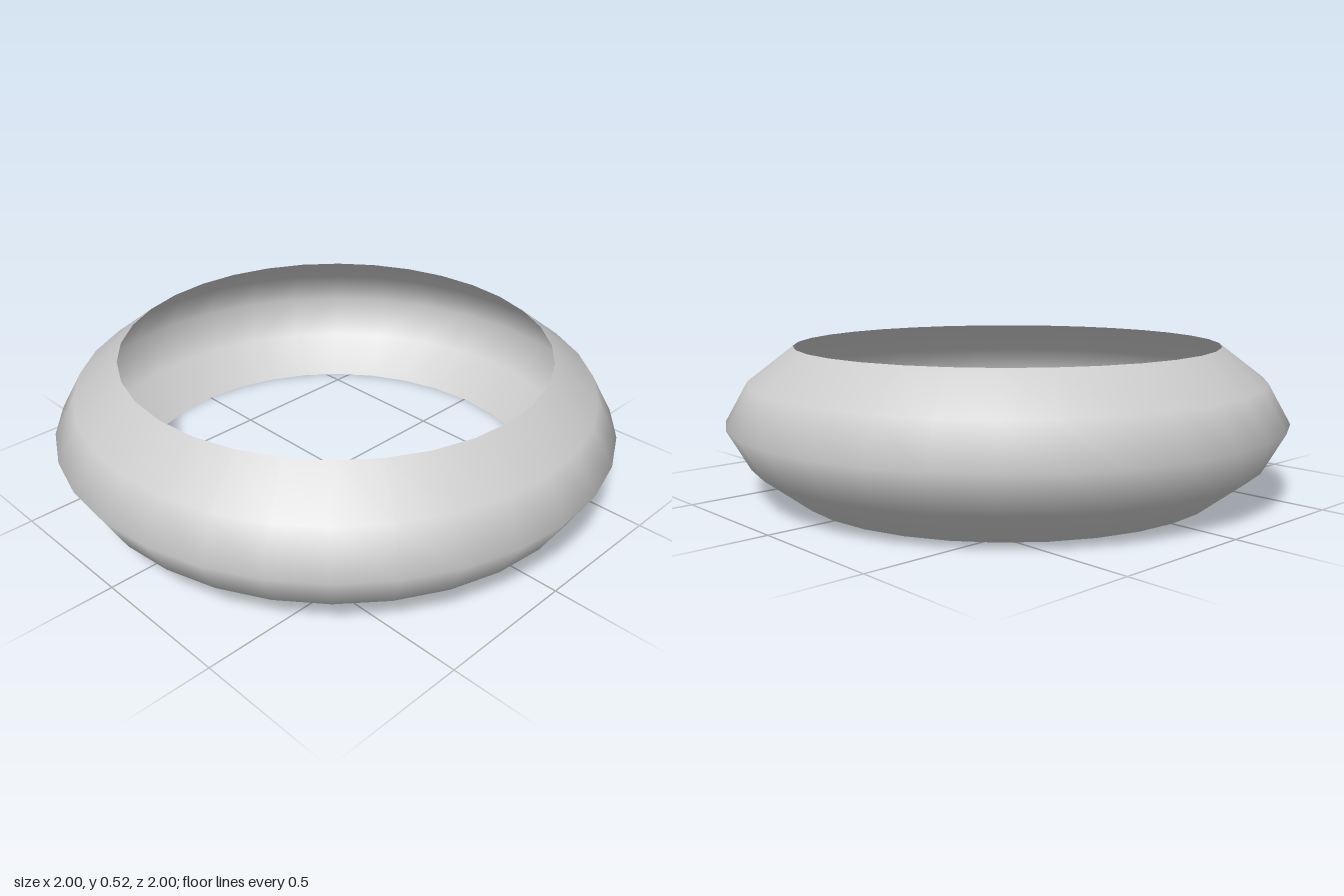
import * as THREE from 'three';

export function createModel() {
  const group = new THREE.Group();
  group.name = 'ring';

  // Open, outward-bulging band: profile as [radius, height], from bottom rim to top rim
  const profile = [[0.762, 0], [0.922, 0.122], [1, 0.261], [0.922, 0.4], [0.762, 0.522]]
    .map(([r, y]) => new THREE.Vector2(r, y));

  // Thin shell, visible from inside and outside
  const band = new THREE.Mesh(
    new THREE.LatheGeometry(profile, 32),
    new THREE.MeshStandardMaterial({ color: 0xcccccc, side: THREE.DoubleSide })
  );
  band.name = 'band';
  group.add(band);

  return group;
}
